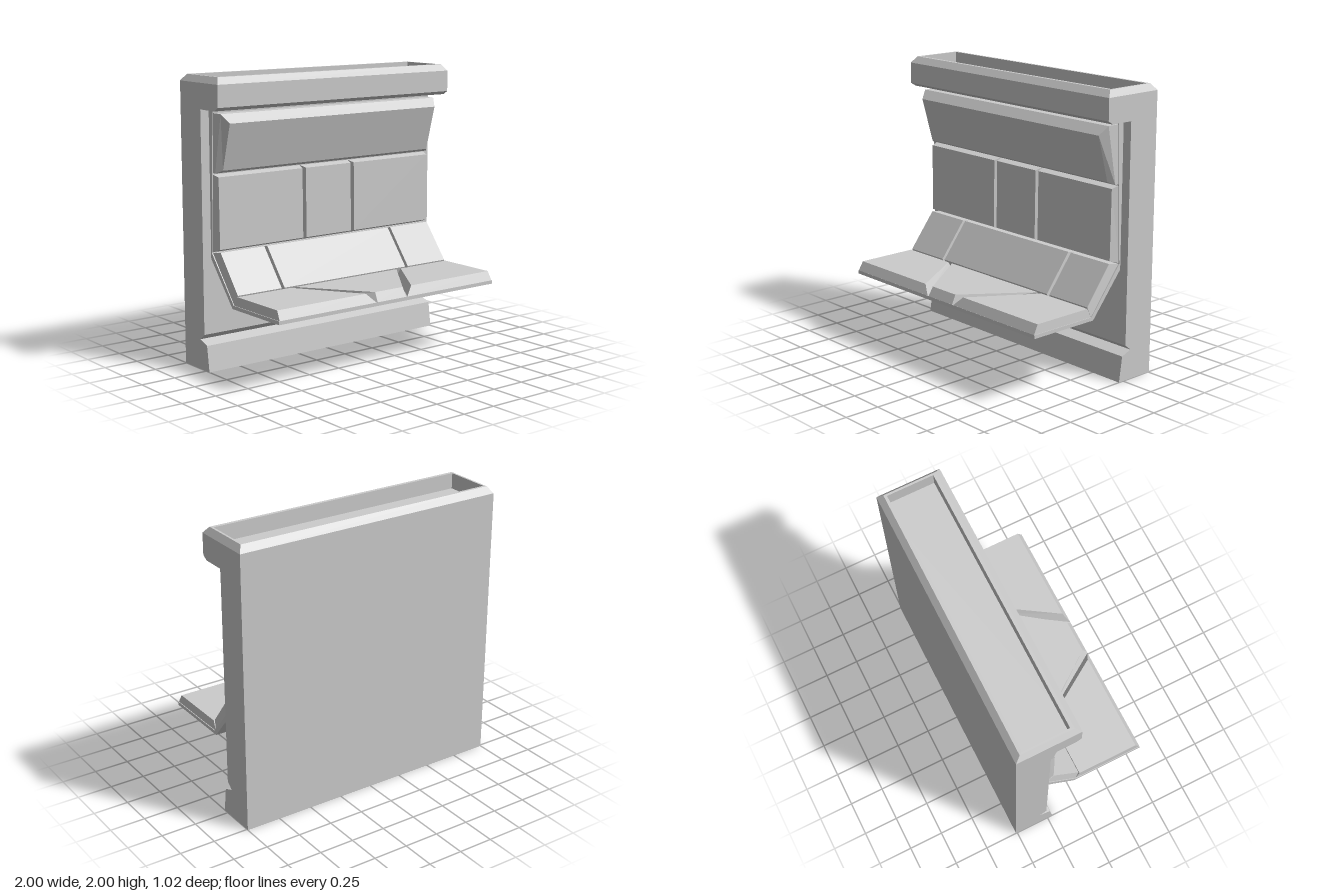
import * as THREE from 'three';

const material = new THREE.MeshStandardMaterial({ color: 0xcccccc, flatShading: true });

// Solid extruded along x from a [z, y] side profile
function sideExtrude(name, profile, halfWidth) {
  const shape = new THREE.Shape(profile.map(([z, y]) => new THREE.Vector2(z, y)));
  const geo = new THREE.ExtrudeGeometry(shape, { depth: 2 * halfWidth, bevelEnabled: false });
  geo.rotateY(-Math.PI / 2).translate(halfWidth, 0, 0);
  const mesh = new THREE.Mesh(geo, material);
  mesh.name = name;
  return mesh;
}

// Skin through four-cornered rings, each counter-clockwise seen from the outer end
function loft(name, rings, capped = true) {
  const pos = [];
  const quad = (a, b, c, d) => pos.push(...a, ...b, ...c, ...a, ...c, ...d);
  for (let i = 0; i < rings.length - 1; i++) {
    for (let j = 0; j < 4; j++) {
      const k = (j + 1) % 4;
      quad(rings[i][j], rings[i][k], rings[i + 1][k], rings[i + 1][j]);
    }
  }
  if (capped) {
    quad(...rings[rings.length - 1]);
    quad(...[...rings[0]].reverse());
  }
  const geo = new THREE.BufferGeometry();
  geo.setAttribute('position', new THREE.Float32BufferAttribute(pos, 3));
  geo.computeVertexNormals();
  const mesh = new THREE.Mesh(geo, material);
  mesh.name = name;
  return mesh;
}

// Bevelled panel: each level is [lower [z, y], upper [z, y], inset in x]
function panel(name, x0, x1, levels) {
  return loft(name, levels.map(([lo, hi, inset]) => [
    [x0 + inset, lo[1], lo[0]], [x1 - inset, lo[1], lo[0]],
    [x1 - inset, hi[1], hi[0]], [x0 + inset, hi[1], hi[0]],
  ]));
}

export function createModel() {
  const model = new THREE.Group();
  const floorY = 1.89;

  // Wall slab with overhanging header and notched skirting
  model.add(sideExtrude('wallBody', [
    [-0.51, 0], [-0.21, 0], [-0.235, 0.18], [-0.315, 0.21], [-0.265, 0.25],
    [-0.265, 1.78], [-0.095, 1.78], [-0.055, 1.805], [-0.055, floorY], [-0.51, floorY],
  ], 1));

  // Chamfered rim around the recessed top
  const rimRing = (x, zBack, zFront, y) => [[-x, y, zFront], [x, y, zFront], [x, y, zBack], [-x, y, zBack]];
  model.add(loft('topRim', [
    rimRing(1, -0.51, -0.055, floorY),
    rimRing(1, -0.51, -0.055, 1.955),
    rimRing(0.97, -0.47, -0.095, 2),
    rimRing(0.955, -0.45, -0.12, 2),
    rimRing(0.955, -0.45, -0.12, floorY),
  ], false));

  // Folded backing sheet that carries all panels
  model.add(sideExtrude('backingSheet', [
    [-0.27, 1.78], [-0.27, 0.775], [-0.015, 0.47], [0.515, 0.47],
    [0.515, 0.495], [0, 0.495], [-0.255, 0.81], [-0.22, 1.78],
  ], 0.935));

  // Upper display hood
  model.add(panel('upperHood', -0.93, 0.93, [
    [[-0.235, 1.355], [-0.222, 1.755], 0],
    [[-0.205, 1.355], [-0.13, 1.755], 0],
    [[-0.165, 1.375], [-0.075, 1.695], 0.035],
  ]));

  // Row of upright panels
  for (const [x0, x1] of [[-0.93, -0.215], [-0.21, 0.21], [0.215, 0.93]]) {
    model.add(panel('uprightPanel', x0, x1, [
      [[-0.255, 0.815], [-0.237, 1.345], 0],
      [[-0.18, 0.84], [-0.185, 1.33], 0.012],
    ]));
  }

  // Row of sloping panels
  for (const [x0, x1] of [[-0.93, -0.55], [-0.55, 0.55], [0.55, 0.93]]) {
    model.add(panel('slopingPanel', x0, x1, [
      [[0, 0.495], [-0.25, 0.81], 0],
      [[0.025, 0.565], [-0.175, 0.822], 0.012],
    ]));
  }

  // Desk: centre wedge between two bevelled outer plates
  const desk = new THREE.Group();
  desk.name = 'desk';
  const y0 = 0.494, y1 = 0.558;
  desk.add(loft('deskCentre', [
    [[-0.125, y0, 0.515], [0.125, y0, 0.515], [0.47, y0, 0], [-0.47, y0, 0]],
    [[-0.12, y1, 0.48], [0.12, y1, 0.48], [0.45, y1, 0.03], [-0.45, y1, 0.03]],
  ]));
  for (const s of [-1, 1]) {
    const rings = [
      [[0.135, y0, 0.515], [0.93, y0, 0.515], [0.93, y0, 0], [0.475, y0, 0]],
      [[0.2, y1, 0.48], [0.925, y1, 0.48], [0.925, y1, 0.03], [0.49, y1, 0.03]],
    ].map((ring) => {
      const r = ring.map(([x, y, z]) => [s * x, y, z]);
      return s < 0 ? r.reverse() : r;
    });
    desk.add(loft(s > 0 ? 'deskLeft' : 'deskRight', rings));
  }
  model.add(desk);

  return model;
}
